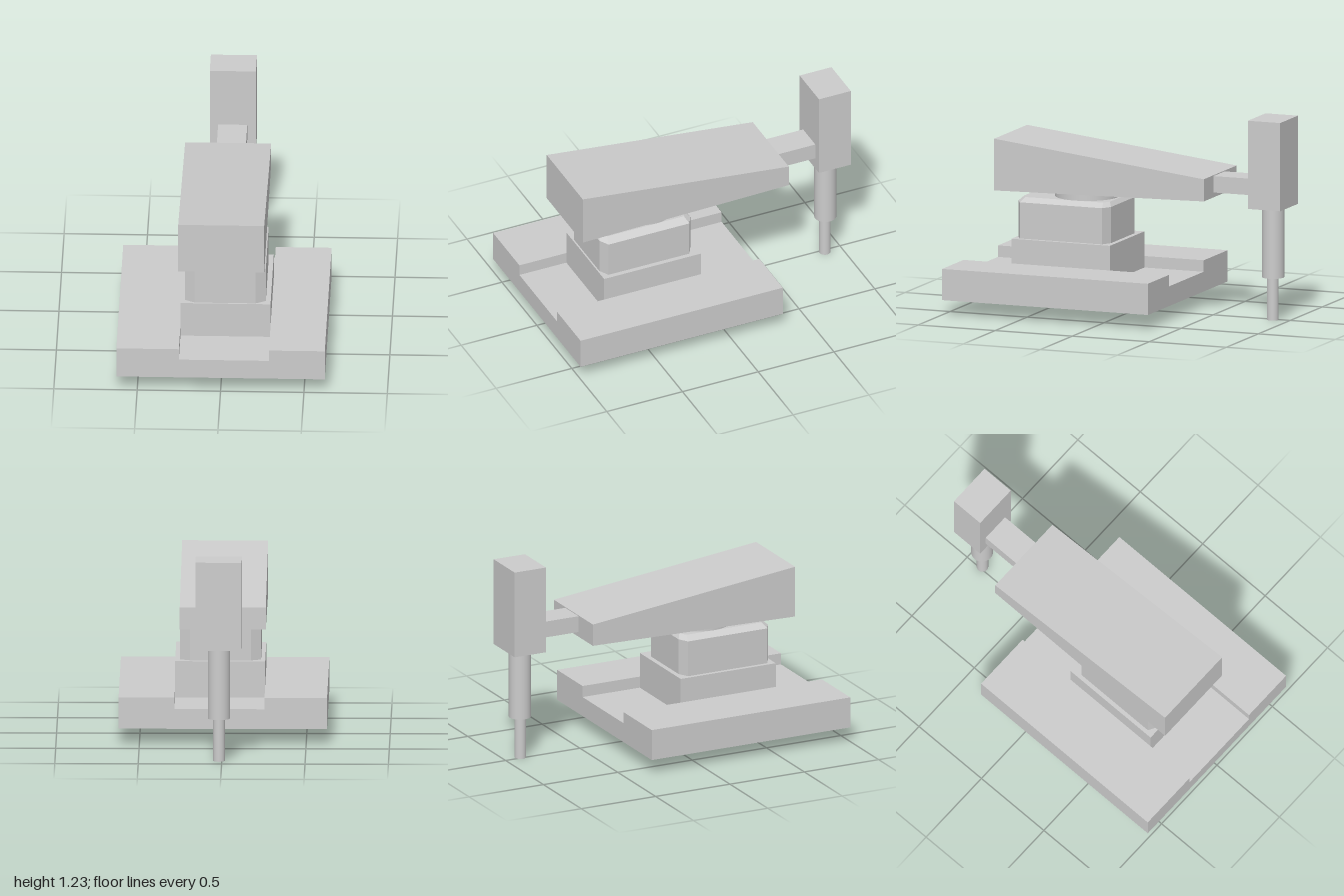
import * as THREE from 'three';

const material = new THREE.MeshStandardMaterial({ color: 0xcccccc });
const flatMaterial = new THREE.MeshStandardMaterial({ color: 0xcccccc, flatShading: true });

export function createModel() {
  const model = new THREE.Group();

  const add = (name, geometry, mat = material) => {
    const mesh = new THREE.Mesh(geometry, mat);
    mesh.name = name;
    model.add(mesh);
    return mesh;
  };
  // Box given by its extents
  const box = (name, [x0, x1], [y0, y1], [z0, z1]) =>
    add(name, new THREE.BoxGeometry(x1 - x0, y1 - y0, z1 - z0))
      .position.set((x0 + x1) / 2, (y0 + y1) / 2, (z0 + z1) / 2);
  // Upright cylinder between two heights
  const rod = (name, radius, y0, y1, x, z) =>
    add(name, new THREE.CylinderGeometry(radius, radius, y1 - y0, 40))
      .position.set(x, (y0 + y1) / 2, z);
  const outline = (points) => new THREE.Shape(points.map(([x, y]) => new THREE.Vector2(x, y)));

  // Base plate with a channel running front to back
  const base = new THREE.ExtrudeGeometry(outline([
    [-0.625, 0.09], [0.625, 0.09], [0.625, 0.28], [0.29, 0.28],
    [0.29, 0.21], [-0.25, 0.21], [-0.25, 0.28], [-0.625, 0.28],
  ]), { depth: 1.335, bevelEnabled: false });
  base.translate(0, 0, -0.335);
  add('base', base);

  // Carriage sliding in the channel
  box('carriage', [-0.25, 0.29], [0.21, 0.43], [0.05, 0.69]);

  // Turret: chamfered block lofted through three octagonal sections
  const ring = (y, hx, hz, cx, cz) => [
    [hx, hz - cz], [hx - cx, hz], [cx - hx, hz], [-hx, hz - cz],
    [-hx, cz - hz], [cx - hx, -hz], [hx - cx, -hz], [hx, cz - hz],
  ].map(([x, z]) => [x + 0.018, y, z + 0.38]);
  const rings = [
    ring(0.43, 0.243, 0.3, 0.06, 0.033),
    ring(0.65, 0.243, 0.3, 0.06, 0.033),
    ring(0.675, 0.193, 0.278, 0.045, 0.025),
  ];
  const corners = [];
  for (let i = 0; i < 8; i++) {
    const j = (i + 1) % 8;
    for (let k = 0; k < 2; k++) {
      const [a, b, c, d] = [rings[k][i], rings[k][j], rings[k + 1][j], rings[k + 1][i]];
      corners.push(a, c, b, a, d, c);
    }
    corners.push([0.018, 0.675, 0.38], rings[2][j], rings[2][i]);
    corners.push([0.018, 0.43, 0.38], rings[0][i], rings[0][j]);
  }
  const turret = new THREE.BufferGeometry();
  turret.setAttribute('position', new THREE.Float32BufferAttribute(corners.flat(), 3));
  turret.computeVertexNormals();
  add('turret', turret, flatMaterial);

  // Swivel disc under the arm
  rod('swivelDisc', 0.193, 0.67, 0.725, 0.018, 0.31);

  // Tapered arm, side profile drawn as (-z, y)
  const arm = new THREE.ExtrudeGeometry(outline([
    [-0.815, 0.71], [0.545, 0.735], [0.545, 0.87], [-0.815, 1.025],
  ]), { depth: 0.516, bevelEnabled: false });
  arm.rotateY(Math.PI / 2);
  arm.translate(-0.26, 0, 0);
  add('arm', arm);

  // Neck, tool head and stepped spindle
  box('neck', [-0.07, 0.105], [0.765, 0.865], [-0.8, -0.54]);
  box('toolHead', [-0.12, 0.157], [0.69, 1.227], [-1, -0.79]);
  rod('quill', 0.067, 0.26, 0.7, 0.017, -0.896);
  rod('toolPin', 0.035, 0, 0.27, 0.017, -0.893);

  return model;
}
